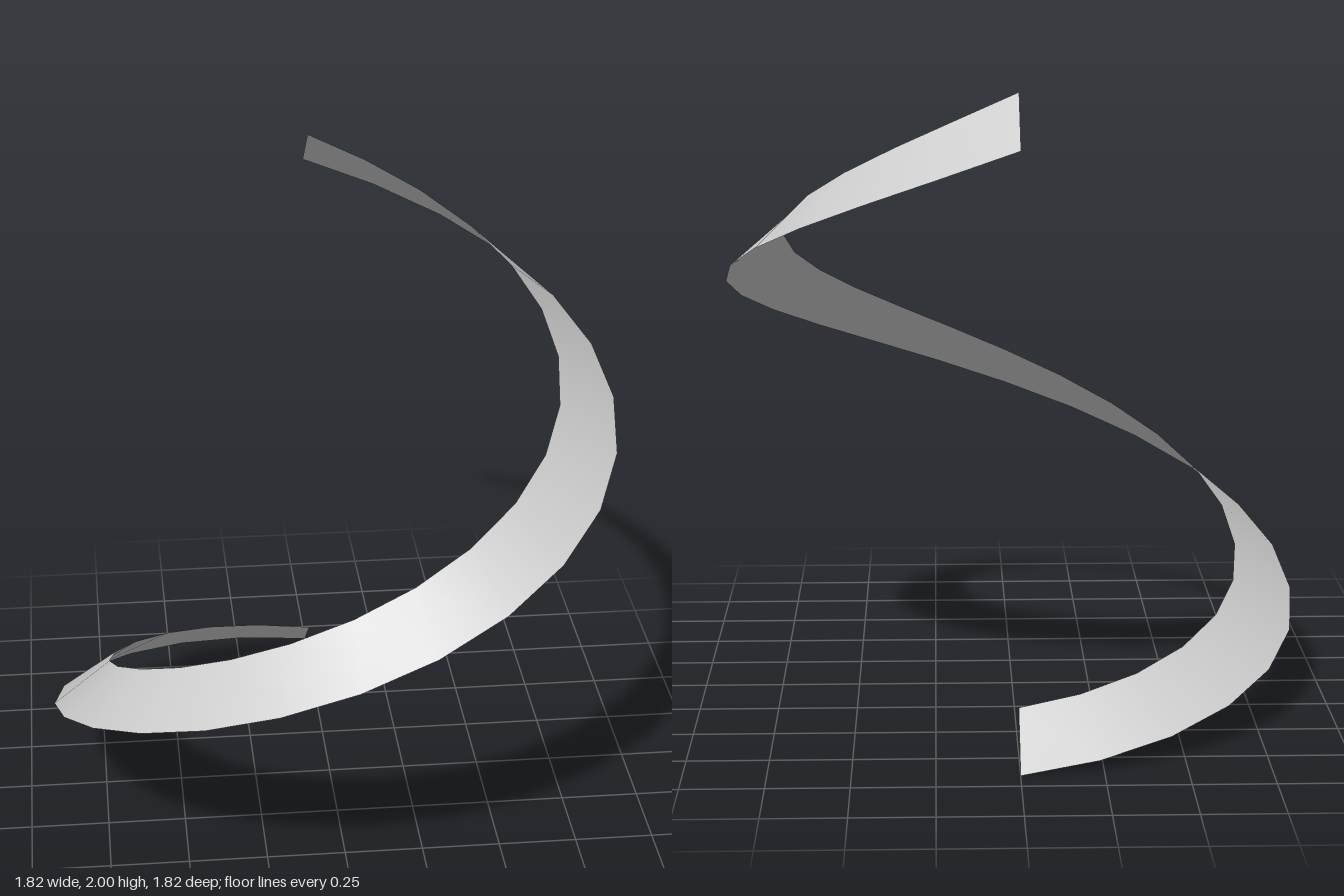
import * as THREE from 'three';

const STEPS = 24, R_OUT = 0.91, R_IN = 0.725, LIFT = 0.15;

// height of the outer edge: eases in over the first quarter turn, then climbs evenly
const height = (k) => k < 6
  ? 0.03 * k + 0.00375 * k * k
  : 0.315 + (k - 6) * (1.535 / 18);

export function createModel() {
  const grey = new THREE.MeshStandardMaterial({ color: 0xcccccc, side: THREE.DoubleSide });
  grey.name = 'light grey';

  // one turn of a banked ribbon, from the back round by the right side
  const positions = [], index = [];
  for (let k = 0; k <= STEPS; k++) {
    const a = (k / STEPS) * Math.PI * 2;
    const x = -Math.sin(a), z = -Math.cos(a), y = height(k);
    positions.push(x * R_OUT, y, z * R_OUT, x * R_IN, y + LIFT, z * R_IN);
    if (k < STEPS) {
      const i = k * 2;
      index.push(i, i + 2, i + 1, i + 1, i + 2, i + 3);
    }
  }
  const geometry = new THREE.BufferGeometry();
  geometry.setAttribute('position', new THREE.Float32BufferAttribute(positions, 3));
  geometry.setIndex(index);
  geometry.computeVertexNormals();

  const ribbon = new THREE.Mesh(geometry, grey);
  ribbon.name = 'spiralRibbon';
  const group = new THREE.Group();
  group.name = 'spiral';
  group.add(ribbon);
  return group;
}
